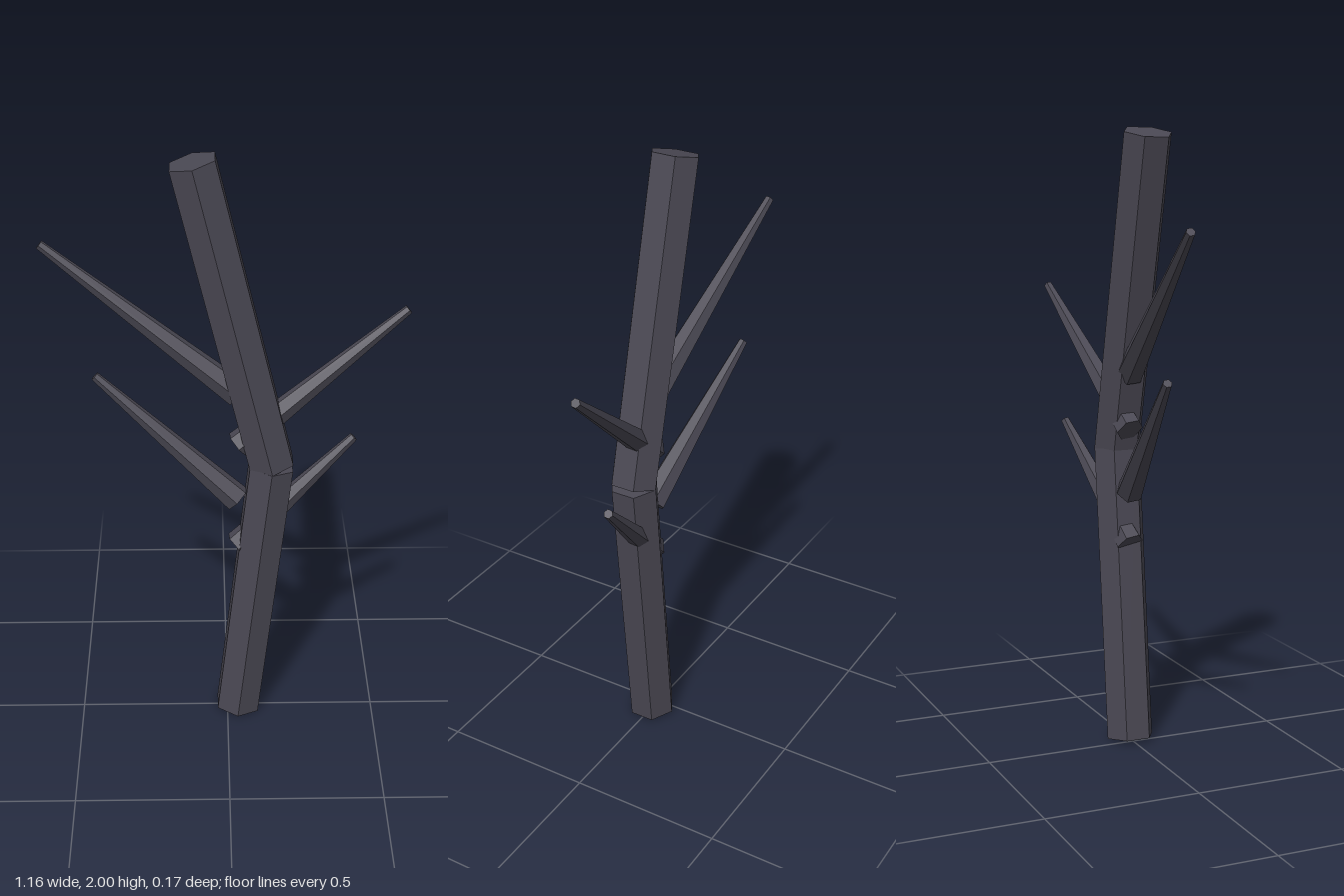
import * as THREE from 'three';

const UP = new THREE.Vector3(0, 1, 0);

// Six-sided tapered limb running from one point to another
function limb(name, from, to, rBottom, rTop, material) {
  const a = new THREE.Vector3(...from);
  const b = new THREE.Vector3(...to);
  const dir = b.clone().sub(a);
  const mesh = new THREE.Mesh(new THREE.CylinderGeometry(rTop, rBottom, dir.length(), 6), material);
  mesh.name = name;
  mesh.position.copy(a).add(b).multiplyScalar(0.5);
  mesh.quaternion.setFromUnitVectors(UP, dir.normalize());
  return mesh;
}

export function createModel() {
  const tree = new THREE.Group();
  tree.name = 'bareTree';
  const bark = new THREE.MeshStandardMaterial({ color: 0x4a4853, flatShading: true });
  bark.name = 'dark bark';

  // Bent trunk in two straight pieces
  const z = 0.004;
  tree.add(limb('lowerTrunk', [0.035, 0.01, z], [0.14, 0.968, z], 0.08, 0.08, bark));
  tree.add(limb('upperTrunk', [0.142, 0.968, z], [-0.104, 1.983, z], 0.08, 0.08, bark));

  // Branches: root height, then tip x and y; all sweep slightly backward
  const branches = [
    ['lowerLeftBranch', 0.665, 0.41, 1.025],
    ['lowerRightBranch', 0.84, -0.42, 1.25],
    ['upperLeftBranch', 1.04, 0.566, 1.475],
    ['upperRightBranch', 1.225, -0.572, 1.697],
  ];
  for (const [name, rootY, tipX, tipY] of branches) {
    tree.add(limb(name, [0.033, rootY, z], [tipX, tipY, -0.073], 0.046, 0.015, bark));
  }
  return tree;
}
